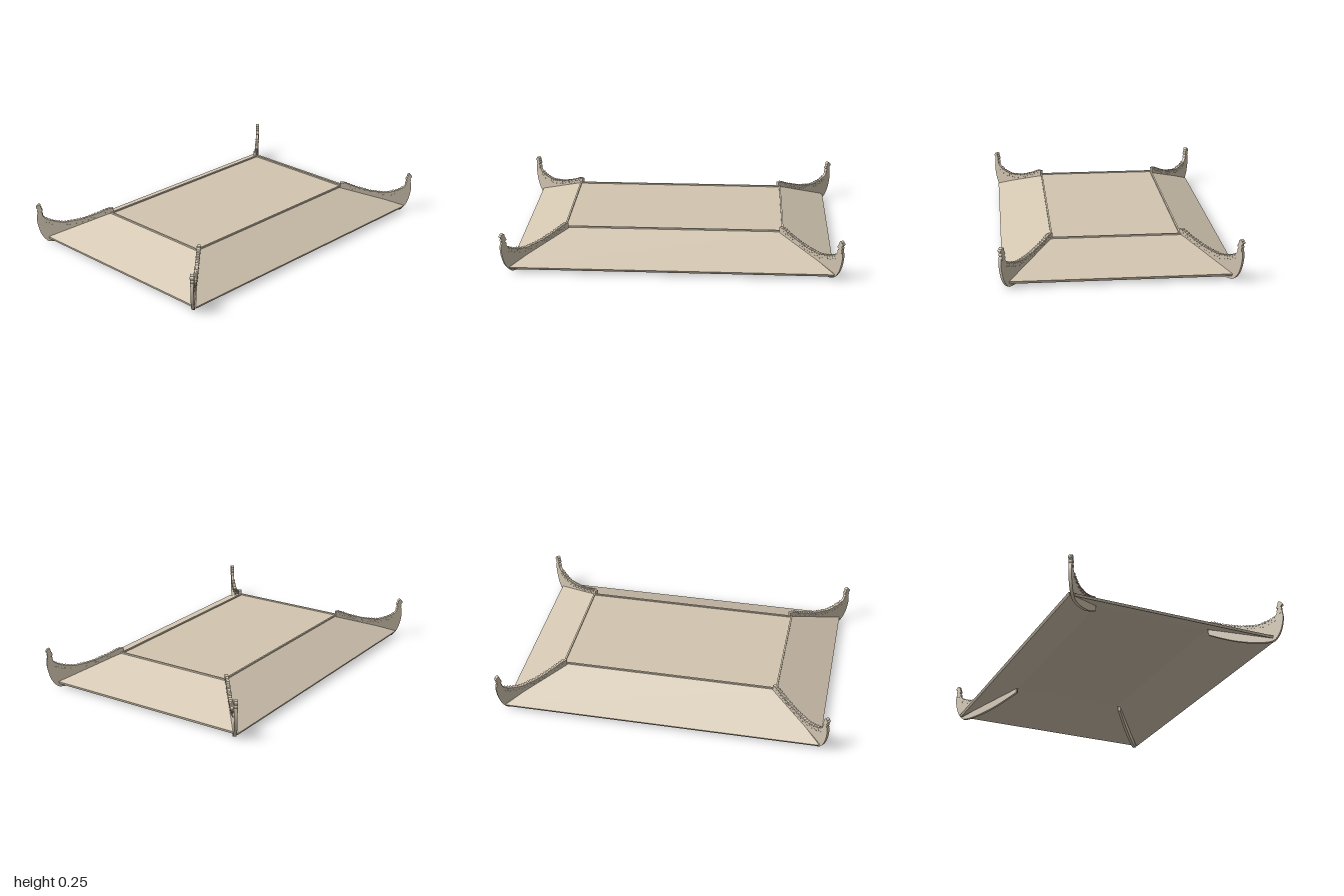
import * as THREE from 'three';

// Rectangular rings [half width, y, half depth]
const corners = ([x, y, z]) => [[-x, y, z], [x, y, z], [x, y, -z], [-x, y, -z]];

function quadGeometry(quads) {
  const p = [];
  for (const [a, b, c, d] of quads) p.push(...a, ...b, ...c, ...a, ...c, ...d);
  const g = new THREE.BufferGeometry();
  g.setAttribute('position', new THREE.Float32BufferAttribute(p, 3));
  g.computeVertexNormals();
  return g;
}

// Joins successive rings with flat faces
function ringBand(rings) {
  const quads = [];
  for (let r = 0; r < rings.length - 1; r++) {
    const lo = corners(rings[r]), hi = corners(rings[r + 1]);
    for (let i = 0; i < 4; i++) {
      const j = (i + 1) % 4;
      quads.push([lo[i], lo[j], hi[j], hi[i]]);
    }
  }
  return quadGeometry(quads);
}

export function createModel() {
  const model = new THREE.Group();
  const stone = new THREE.MeshStandardMaterial({ color: 0xd3c6b1 });
  stone.name = 'warm stone';

  const add = (parent, name, geometry) => {
    const mesh = new THREE.Mesh(geometry, stone);
    mesh.name = name;
    parent.add(mesh);
    return mesh;
  };

  // Hollow sloping roof: underside, eave edge, slope, raised rim
  const ceiling = [0.645, 0.16, 0.363];
  const deck = [0.65, 0.175, 0.368];
  add(model, 'roofUnderside', ringBand([ceiling, [0.947, 0.018, 0.657]]));
  add(model, 'eaveEdge', ringBand([[0.947, 0.018, 0.657], [0.952, 0.033, 0.665]]));
  add(model, 'roofSlopes', ringBand([[0.952, 0.033, 0.665], [0.66, 0.174, 0.378]]));
  add(model, 'deckRim', ringBand([[0.66, 0.174, 0.378], [0.66, 0.183, 0.378], [0.65, 0.183, 0.368], deck]));
  add(model, 'deck', quadGeometry([corners(deck)]));
  add(model, 'ceiling', quadGeometry([corners(ceiling).reverse()]));

  // Corner fin profile: u runs outward along the hip
  const run = new THREE.Vector2(0.355, 0.303), len = run.length();
  const V = (s, y) => new THREE.Vector2(s * len, y);
  const crest = new THREE.SplineCurve([
    V(0, 0.207), V(0.07, 0.203), V(0.17, 0.182), V(0.3, 0.16), V(0.42, 0.142),
    V(0.54, 0.132), V(0.65, 0.125), V(0.76, 0.133), V(0.85, 0.146), V(0.91, 0.165), V(0.93, 0.19)]);
  const outer = new THREE.SplineCurve([
    V(0.99, 0.19), V(1, 0.15), V(0.985, 0.1), V(0.95, 0.05), V(0.89, 0.012), V(0.82, 0),
    V(0.64, 0.01), V(0.4, 0.042), V(0.2, 0.08), V(0, 0.125)]);
  const shape = new THREE.Shape([...crest.getPoints(30), ...outer.getPoints(30)]);
  const thick = 0.018;
  const finGeo = new THREE.ExtrudeGeometry(shape, { depth: thick, bevelEnabled: false });
  finGeo.translate(0, 0, -thick / 2);

  // Carved curls: short cylinders lying across the fin
  const curl = (r, width) => new THREE.CylinderGeometry(r, r, width, 10).rotateX(Math.PI / 2);
  const beadGeo = curl(0.006, 0.024);
  const smallBeadGeo = curl(0.004, 0.022);

  for (const sx of [-1, 1]) for (const sz of [-1, 1]) {
    const fin = new THREE.Group();
    fin.name = (sz > 0 ? 'front' : 'back') + (sx > 0 ? 'Left' : 'Right') + 'Fin';
    fin.position.set(sx * 0.64, 0, sz * 0.375);
    fin.rotation.y = -Math.atan2(sz * run.y, sx * run.x);
    model.add(fin);
    add(fin, 'finBlade', finGeo);

    // Scalloped crest with a second row of carving below it
    for (let i = 0; i < 22; i++) {
      const p = crest.getPointAt(0.05 + 0.85 * i / 21);
      add(fin, 'crestCurl', beadGeo).position.set(p.x, p.y - 0.003, 0);
      add(fin, 'carvedDot', smallBeadGeo).position.set(p.x + 0.006, p.y - 0.018 - 0.006 * (i % 2), 0);
    }

    // Knobbed finial on the upturned tip
    for (const [s, y, r] of [[0.955, 0.185, 0.016], [0.965, 0.205, 0.012], [0.94, 0.211, 0.009],
      [0.96, 0.222, 0.013], [0.985, 0.23, 0.009], [0.965, 0.238, 0.011]]) {
      add(fin, 'finialKnob', curl(r, 0.022)).position.set(s * len, y, 0);
    }
  }
  return model;
}
